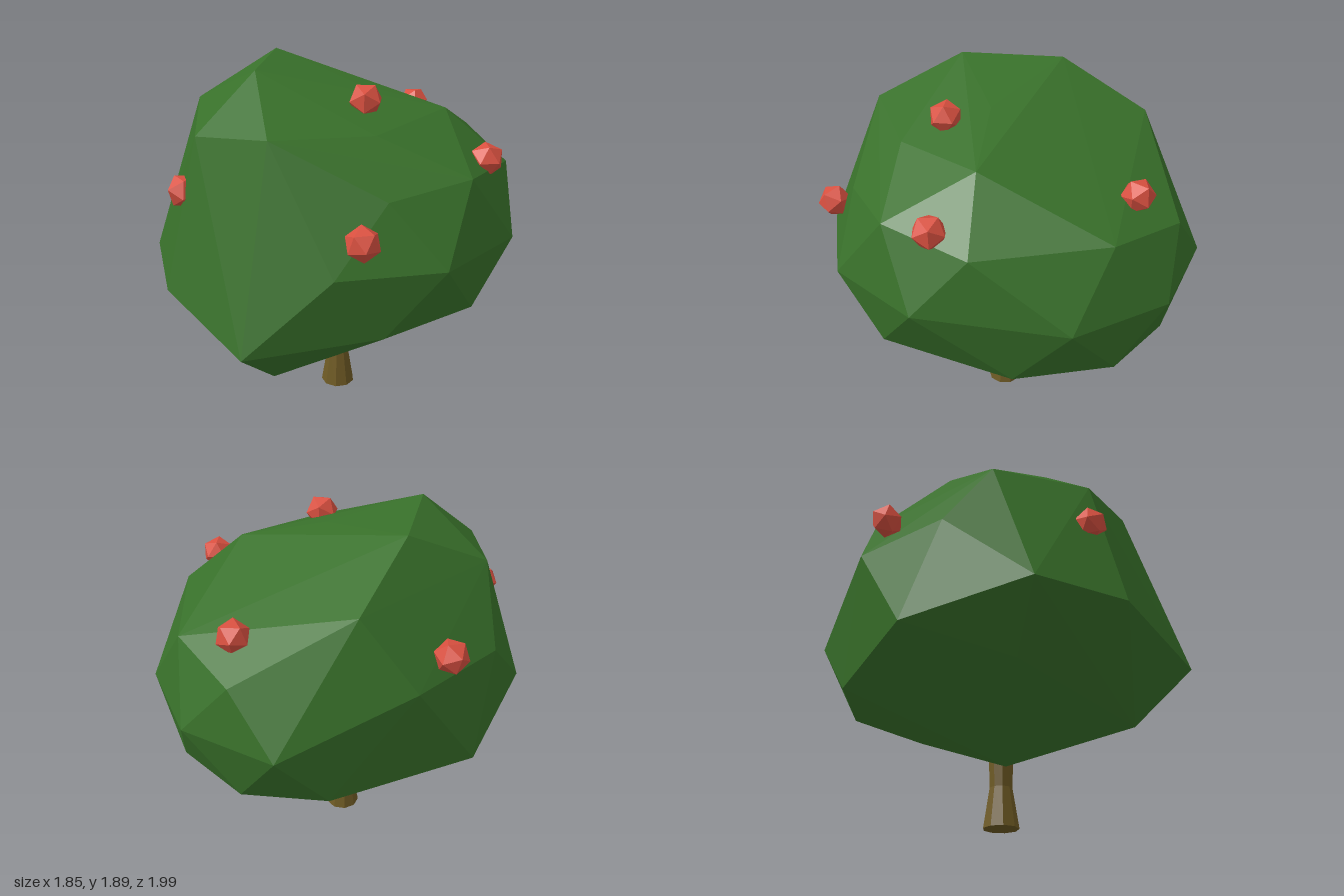
import * as THREE from 'three';
import { ConvexGeometry } from 'three/addons/geometries/ConvexGeometry.js';

const paint = (color) => new THREE.MeshStandardMaterial({ color, flatShading: true });

// Corner points of the faceted crown, from top to bottom
const crownCorners = [
  // top
  [-0.35, 1.89, 0.29], [-0.35, 1.89, -0.24], [0.11, 1.79, 0.07],
  [-0.21, 1.68, 0.72], [-0.21, 1.68, -0.68], [-0.71, 1.68, 0.02],
  [0.56, 1.68, 0.07], [-0.6, 1.62, 0.51], [0.25, 1.65, 0.49],
  // shoulder
  [0.33, 1.42, 0.73], [0.7, 1.46, 0.49], [0.69, 1.42, -0.57],
  [0.35, 1.36, -0.87], [0.88, 1.41, 0.06], [-0.49, 1.32, -0.68], [-0.8, 1.32, -0.22],
  // widest band
  [0.61, 1.07, -0.84], [0.11, 1.07, -1], [0.92, 1.11, 0.33], [0.92, 1.07, -0.41],
  [0.61, 1.11, 0.76], [0.11, 1.11, 0.92], [-0.31, 0.71, 0.99],
  [-0.75, 0.87, 0.65], [-0.93, 0.92, 0.22], [-0.75, 0.8, -0.42],
  // underside
  [0.84, 0.72, -0.13], [0.735, 0.81, 0.52], [0.33, 0.765, 0.8],
  [0.34, 0.72, -0.84], [-0.1, 0.74, -0.82], [0.71, 0.74, -0.61],
  [0.48, 0.51, -0.06], [0.17, 0.51, -0.41], [-0.22, 0.445, 0.7],
  [-0.61, 0.66, 0.13], [-0.07, 0.3, 0.05],
];

const fruitCentres = [
  [0.18, 1.76, 0.28], [0.77, 1.48, 0.25], [0.38, 1.51, -0.66],
  [-0.61, 1.45, -0.53], [-0.68, 1.34, 0.5], [0.23, 1.28, 0.87],
];

export function createModel() {
  const tree = new THREE.Group();
  tree.name = 'fruitTree';

  // Crown
  const crown = new THREE.Mesh(
    new ConvexGeometry(crownCorners.map((p) => new THREE.Vector3(...p))),
    paint(0x38702a)
  );
  crown.name = 'crown';
  tree.add(crown);

  // Trunk, flared at the foot and closed at both ends
  const profile = [[0, 0], [0.094, 0], [0.06, 0.21], [0.066, 0.42], [0, 0.42]];
  const trunk = new THREE.Mesh(
    new THREE.LatheGeometry(profile.map((p) => new THREE.Vector2(...p)), 9),
    paint(0x6e5a24)
  );
  trunk.name = 'trunk';
  trunk.position.set(0.017, 0, 0.02);
  tree.add(trunk);

  // Fruit, half sunk in the foliage
  const fruitGeometry = new THREE.IcosahedronGeometry(0.086, 0);
  const fruitMaterial = paint(0xd95040);
  fruitCentres.forEach((centre, i) => {
    const fruit = new THREE.Mesh(fruitGeometry, fruitMaterial);
    fruit.name = `fruit${i + 1}`;
    fruit.position.set(...centre);
    fruit.rotation.set(i * 0.7, i * 1.1, i * 0.4);
    tree.add(fruit);
  });

  return tree;
}
